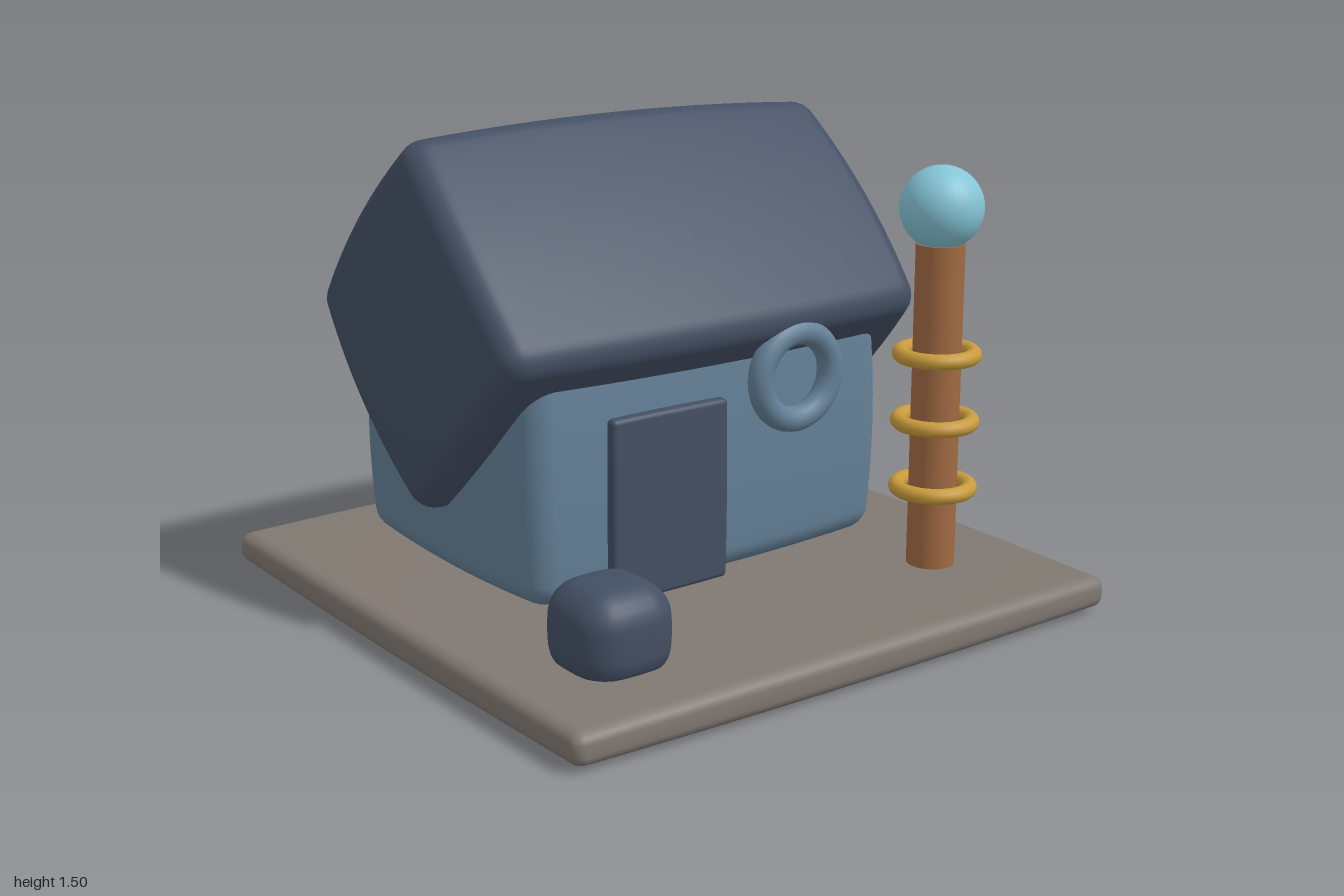
import * as THREE from 'three';
import { mergeVertices } from 'three/addons/utils/BufferGeometryUtils.js';

// Box with rounded edges (r) and faces that swell outward by about b.
function pillowBox(hx, hy, hz, r, b) {
  const n = 20;
  let geo = new THREE.BoxGeometry(2, 2, 2, n, n, n);
  geo.deleteAttribute('uv');
  geo.deleteAttribute('normal');
  geo = mergeVertices(geo, 1e-4);
  const pos = geo.attributes.position;
  const half = new THREE.Vector3(hx, hy, hz);
  const inner = half.clone().subScalar(r);
  const p = new THREE.Vector3(), core = new THREE.Vector3();
  // outer three grid steps form the rounding, the rest spans the flat face
  const spread = (t, h) => {
    const a = Math.abs(t), k = 0.7;
    const d = a <= k ? (a / k) * (h - r) : h - r + r * Math.tan(((a - k) / (1 - k)) * Math.PI / 4);
    return Math.sign(t) * d;
  };
  for (let i = 0; i < pos.count; i++) {
    p.set(spread(pos.getX(i), hx), spread(pos.getY(i), hy), spread(pos.getZ(i), hz));
    core.copy(p).clamp(inner.clone().negate(), inner);
    p.sub(core).normalize().multiplyScalar(r).add(core);
    const u = p.clone().divide(half);
    const x2 = u.x * u.x, y2 = u.y * u.y, z2 = u.z * u.z;
    p.x -= u.x * b * (y2 + z2);
    p.y -= u.y * Math.min(b, hy * 0.1) * (x2 + z2);
    p.z -= u.z * b * (x2 + y2);
    pos.setXYZ(i, p.x, p.y, p.z);
  }
  geo.computeVertexNormals();
  return geo;
}

export function createModel() {
  const group = new THREE.Group();
  const mat = (name, color) => {
    const m = new THREE.MeshStandardMaterial({ color });
    m.name = name;
    return m;
  };
  const slate = mat('slate', 0x434f63);
  const blue = mat('dusty blue', 0x648096);
  const stone = mat('stone grey', 0x807871);
  const wood = mat('wood brown', 0xa06a42);
  const gold = mat('gold', 0xc89b3c);
  const aqua = mat('aqua', 0x85c5d6);

  const add = (name, geo, material, x, y, z) => {
    const mesh = new THREE.Mesh(geo, material);
    mesh.name = name;
    mesh.position.set(x, y, z);
    group.add(mesh);
    return mesh;
  };

  // Ground slab
  add('groundSlab', pillowBox(1, 0.0625, 1, 0.035, 0.008), stone, 0, 0.0625, 0);

  // House
  add('walls', pillowBox(0.68, 0.395, 0.525, 0.075, 0.015), blue, 0, 0.515, -0.21);
  const roof = add('roof', pillowBox(0.805, 0.455, 0.455, 0.07, 0.022), slate, 0, 0.915, -0.21);
  roof.rotation.x = Math.PI / 4;
  add('door', pillowBox(0.212, 0.284, 0.025, 0.014, 0.002), slate, -0.21, 0.423, 0.33);
  add('roundWindowFrame', new THREE.TorusGeometry(0.137, 0.04, 16, 48), blue, 0.26, 0.735, 0.35);

  // Boulder
  add('boulder', pillowBox(0.155, 0.145, 0.155, 0.085, 0.012), slate, -0.635, 0.213, 0.63);

  // Lamp post with bands and globe
  const px = 0.63, pz = 0.58;
  add('post', new THREE.CylinderGeometry(0.075, 0.075, 1.04, 32), wood, px, 0.62, pz);
  for (const y of [0.37, 0.583, 0.796]) {
    const ring = add('postRing', new THREE.TorusGeometry(0.113, 0.025, 12, 40), gold, px, y, pz);
    ring.rotation.x = Math.PI / 2;
  }
  add('globe', new THREE.SphereGeometry(0.129, 32, 20), aqua, px, 1.25, pz);

  return group;
}
